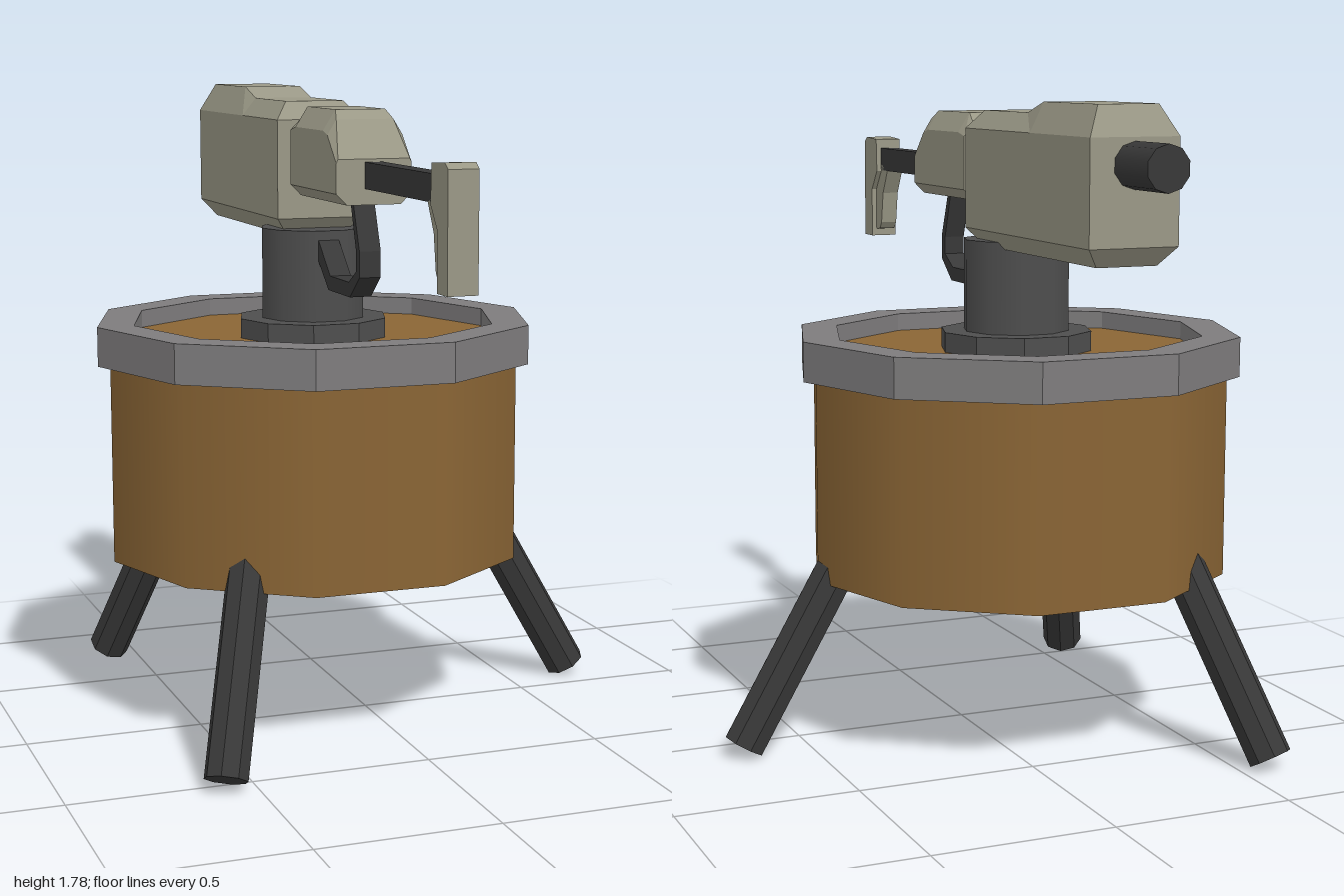
import * as THREE from 'three';

const mat = (color, flatShading = true, side = THREE.FrontSide) =>
  new THREE.MeshStandardMaterial({ color, flatShading, side });
const BROWN = 0x8a6535, RIM = 0x7e7c7d, STEEL = 0x4e4e4e, DARK = 0x383838, TAN = 0x9a9886;

function add(parent, name, geometry, material) {
  const mesh = new THREE.Mesh(geometry, material);
  mesh.name = name;
  parent.add(mesh);
  return mesh;
}

// Ten-sided drum-like piece between two heights
function decagon(r, y0, y1, open = false) {
  return new THREE.CylinderGeometry(r, r, y1 - y0, 10, 1, open, Math.PI / 2).translate(0, (y0 + y1) / 2, 0);
}

// Side profile of [z, y] points, given a thickness across x
function sidePlate(points, width) {
  const shape = new THREE.Shape(points.map(([z, y]) => new THREE.Vector2(z, y)));
  return new THREE.ExtrudeGeometry(shape, { depth: width, bevelEnabled: false })
    .rotateY(-Math.PI / 2).translate(width / 2, 0, 0);
}

// Loft through eight-sided sections, ordered by rising z:
// [z, half width, bottom half width, top half width, bottom y, lower side y, upper side y, top y]
function loft(sections) {
  const pos = [];
  const rings = sections.map(([z, w, bw, tw, yb, yl, yu, yt]) =>
    [[-bw, yb], [bw, yb], [w, yl], [w, yu], [tw, yt], [-tw, yt], [-w, yu], [-w, yl]]
      .map(([x, y]) => new THREE.Vector3(x, y, z)));
  const tri = (a, b, c) => {
    const area = b.clone().sub(a).cross(c.clone().sub(a)).length();
    if (area > 1e-8) for (const p of [a, b, c]) pos.push(p.x, p.y, p.z);
  };
  for (let k = 0; k < rings.length - 1; k++) {
    for (let i = 0; i < 8; i++) {
      const j = (i + 1) % 8, r = rings[k], s = rings[k + 1];
      tri(r[i], r[j], s[j]);
      tri(r[i], s[j], s[i]);
    }
  }
  const back = rings[0], front = rings[rings.length - 1];
  for (let i = 1; i < 7; i++) {
    tri(back[0], back[i + 1], back[i]);
    tri(front[0], front[i], front[i + 1]);
  }
  const g = new THREE.BufferGeometry();
  g.setAttribute('position', new THREE.Float32BufferAttribute(pos, 3));
  g.computeVertexNormals();
  return g;
}

function makeBase() {
  const base = new THREE.Group();
  base.name = 'base';
  base.position.z = -0.11;

  // Hollow drum, open below, with a recessed lid
  add(base, 'drumWall', decagon(0.595, 0.47, 1.03, true), mat(BROWN, false, THREE.DoubleSide));
  const rim = [[0, 1.03], [0.63, 1.03], [0.63, 1.14], [0.525, 1.14], [0.525, 1.085]]
    .map(([x, y]) => new THREE.Vector2(x, y));
  add(base, 'rim', new THREE.LatheGeometry(rim, 10, Math.PI / 2), mat(RIM, true, THREE.DoubleSide));
  add(base, 'drumTop', decagon(0.525, 1.07, 1.09), mat(BROWN));

  // Pedestal and its flange
  add(base, 'flange', decagon(0.215, 1.09, 1.145), mat(STEEL));
  add(base, 'pedestal', decagon(0.15, 1.14, 1.4), mat(STEEL, false));

  // Three splayed legs
  const feet = [[0.815, 0, 0], [-0.465, 0.655, 2 * Math.PI / 3], [-0.465, -0.655, -2 * Math.PI / 3]];
  for (const [x, z, angle] of feet) {
    const leg = add(base, 'leg',
      new THREE.CylinderGeometry(0.06, 0.06, 0.6, 8).translate(0, 0.3, 0).rotateZ(Math.PI / 6), mat(DARK));
    leg.position.set(x, 0.03, z);
    leg.rotation.y = -angle;
  }
  return base;
}

function makeGun() {
  const gun = new THREE.Group();
  gun.name = 'gun';

  // Rear housing with chamfered ends
  add(gun, 'housing', loft([
    [-0.825, 0.125, 0.125, 0.125, 1.43, 1.43, 1.705, 1.705],
    [-0.785, 0.125, 0.085, 0.085, 1.38, 1.43, 1.705, 1.785],
    [-0.47, 0.125, 0.085, 0.085, 1.38, 1.43, 1.705, 1.785],
    [-0.37, 0.125, 0.085, 0.085, 1.38, 1.43, 1.705, 1.755],
    [-0.085, 0.125, 0.085, 0.085, 1.38, 1.43, 1.705, 1.755],
    [-0.04, 0.125, 0.125, 0.125, 1.43, 1.43, 1.705, 1.705],
  ]), mat(TAN));

  // Front receiver, sloping down to the rod
  add(gun, 'receiver', loft([
    [0.015, 0.105, 0.075, 0.075, 1.5, 1.53, 1.68, 1.71],
    [0.06, 0.105, 0.075, 0.07, 1.5, 1.53, 1.69, 1.745],
    [0.29, 0.105, 0.075, 0.07, 1.5, 1.53, 1.69, 1.745],
    [0.325, 0.105, 0.075, 0.08, 1.5, 1.53, 1.68, 1.72],
    [0.395, 0.105, 0.075, 0.1, 1.5, 1.53, 1.61, 1.62],
  ]), mat(TAN));

  // Dark joint, barrel and rod
  add(gun, 'joint', new THREE.BoxGeometry(0.1, 0.125, 0.12).translate(0, 1.59, -0.01), mat(DARK));
  add(gun, 'barrel', new THREE.CylinderGeometry(0.06, 0.06, 0.22, 10)
    .rotateX(Math.PI / 2).translate(0, 1.635, -0.89), mat(DARK, false));
  add(gun, 'rod', new THREE.BoxGeometry(0.05, 0.07, 0.53).translate(0, 1.577, 0.645), mat(DARK));

  // End plate with a thinner web behind it
  add(gun, 'endPlate', sidePlate([
    [0.935, 1.33], [1, 1.33], [1, 1.63], [0.98, 1.645], [0.895, 1.64], [0.89, 1.54], [0.935, 1.48],
  ], 0.08), mat(TAN));
  add(gun, 'endWeb', sidePlate([
    [0.95, 1.35], [0.95, 1.56], [0.88, 1.56], [0.835, 1.542], [0.875, 1.47], [0.89, 1.375], [0.905, 1.355],
  ], 0.05), mat(TAN));

  // Looped handle under the receiver, ending in the pedestal
  add(gun, 'handle', sidePlate([
    [0.29, 1.52], [0.34, 1.37], [0.34, 1.32], [0.28, 1.285], [0.13, 1.285], [0.02, 1.385],
    [0.02, 1.325], [0.115, 1.245], [0.29, 1.245], [0.365, 1.305], [0.365, 1.375], [0.31, 1.52],
  ], 0.06), mat(DARK));
  return gun;
}

export function createModel() {
  const model = new THREE.Group();
  model.name = 'mountedGun';
  const offset = new THREE.Group();
  offset.name = 'assembly';
  offset.position.x = -0.12;
  offset.add(makeBase(), makeGun());
  model.add(offset);
  return model;
}
